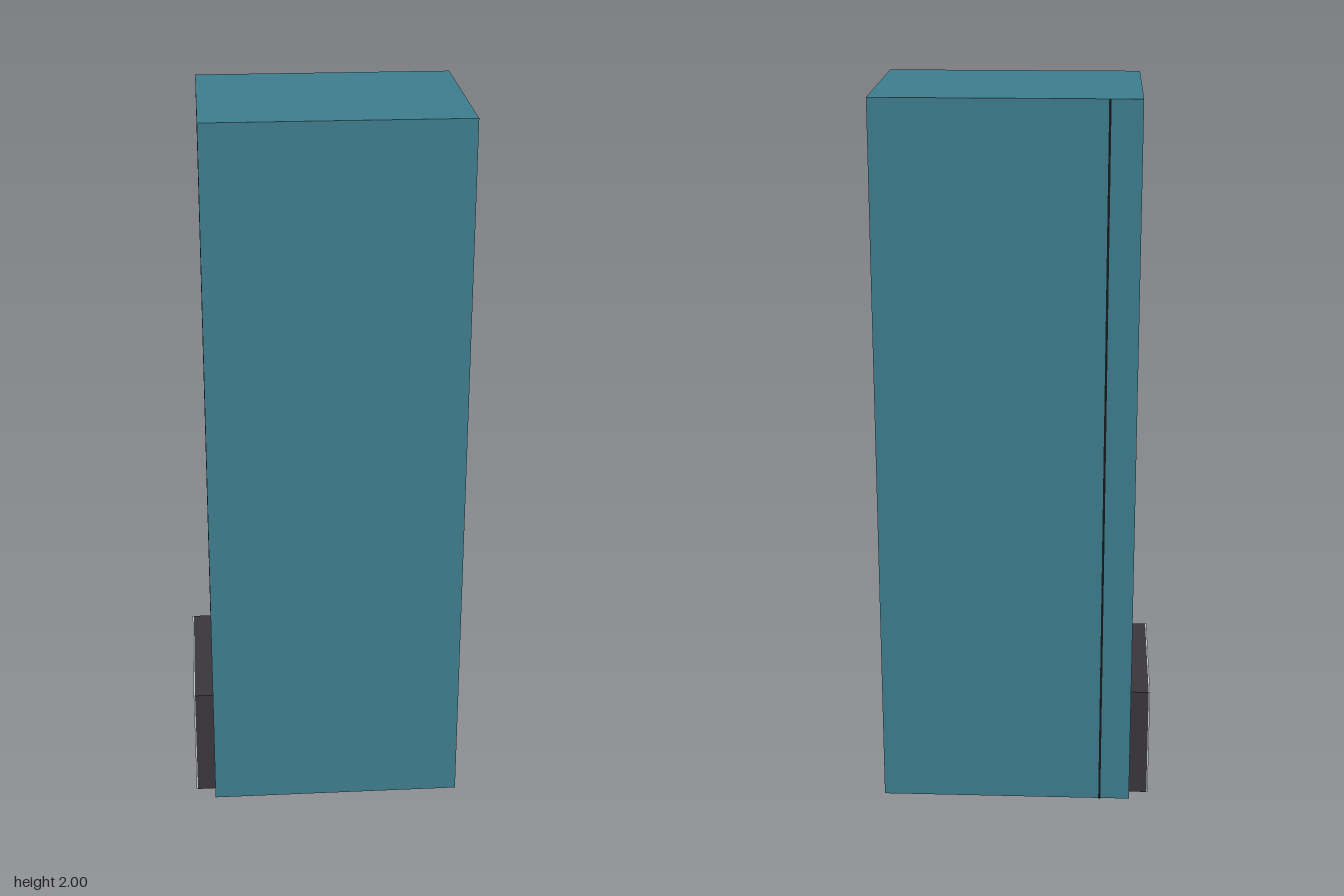
import * as THREE from 'three';

const material = (name, color) => {
  const m = new THREE.MeshStandardMaterial({ color });
  m.name = name;
  return m;
};

export function createModel() {
  const group = new THREE.Group();
  const teal = material('teal wall', 0x3f7f90);
  const charcoal = material('charcoal', 0x39363d);
  const stone = material('pale stone', 0xbecbc6);
  const black = material('black seam', 0x15181b);

  // Box given by its minimum and maximum corners
  const box = (name, mat, [x0, y0, z0], [x1, y1, z1]) => {
    const mesh = new THREE.Mesh(new THREE.BoxGeometry(x1 - x0, y1 - y0, z1 - z0), mat);
    mesh.position.set((x0 + x1) / 2, (y0 + y1) / 2, (z0 + z1) / 2);
    mesh.name = name;
    group.add(mesh);
  };

  // Plain tower with a full-height seam on its back
  box('tower', teal, [-0.325, 0, -0.275], [0.38, 2, 0.278]);
  box('backSeam', black, [-0.243, 0, -0.278], [-0.237, 2, -0.274]);

  // Door frame on the right side: an arch-like outline with a square opening
  const frame = (name, mat, xBack, depth) => {
    const points = [[-0.235, 0], [-0.12, 0], [-0.12, 0.25], [0.1, 0.25],
      [0.1, 0], [0.232, 0], [0.232, 0.32], [-0.235, 0.32]];
    const shape = new THREE.Shape(points.map(([z, y]) => new THREE.Vector2(z, y)));
    const geo = new THREE.ExtrudeGeometry(shape, { depth, bevelEnabled: false });
    geo.rotateY(-Math.PI / 2);
    const mesh = new THREE.Mesh(geo, mat);
    mesh.position.x = xBack;
    mesh.name = name;
    group.add(mesh);
  };
  frame('entranceFrame', charcoal, -0.325, 0.051);
  frame('entranceFacing', stone, -0.376, 0.004);

  // Dark doorway and its raised threshold
  box('doorway', black, [-0.329, 0, -0.12], [-0.324, 0.25, 0.1]);
  box('threshold', teal, [-0.376, 0.02, -0.12], [-0.328, 0.03, 0.1]);
  box('thresholdBase', charcoal, [-0.376, 0, -0.12], [-0.328, 0.02, 0.1]);

  return group;
}
